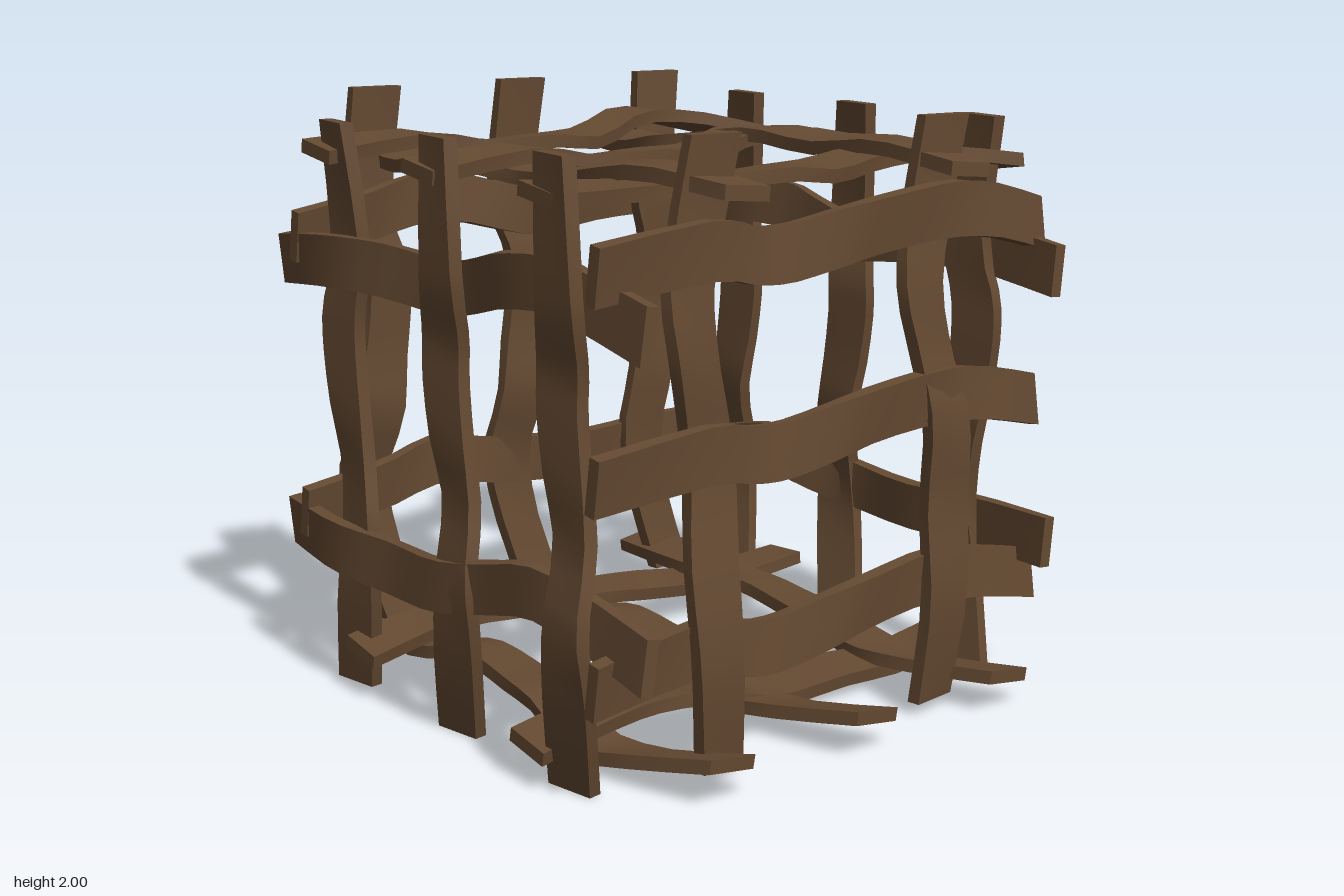
import * as THREE from 'three';

const bark = new THREE.MeshStandardMaterial({ color: 0x654a32 });
bark.name = 'brown bark';

// Flat strip bent along a path of [along, sideways, depth, twist] stations.
// A lengthwise strip runs along local x, a crosswise one along local y.
function strip(name, path, width, thick, crosswise = false) {
  const centre = new THREE.CatmullRomCurve3(path.map(p => new THREE.Vector3(p[0], p[1], p[2])));
  const twists = new THREE.CatmullRomCurve3(path.map(p => new THREE.Vector3(p[0], p[3], 0)));
  const segments = 18;
  const geo = new THREE.BoxGeometry(1, width, thick, segments, 1, 1);
  const pos = geo.attributes.position;
  for (let i = 0; i < pos.count; i++) {
    const t = THREE.MathUtils.clamp(pos.getX(i) + 0.5, 0, 1);
    const c = centre.getPoint(t);
    const a = twists.getPoint(t).y;
    const s = pos.getY(i), d = pos.getZ(i);
    pos.setXYZ(i, c.x, c.y + s * Math.cos(a) - d * Math.sin(a), c.z + s * Math.sin(a) + d * Math.cos(a));
  }
  // A quarter turn keeps the winding when the strip runs upward
  if (crosswise) geo.rotateZ(Math.PI / 2);
  geo.computeVertexNormals();
  const mesh = new THREE.Mesh(geo, bark);
  mesh.name = name;
  return mesh;
}

// One woven panel: three lengthwise strips and two crosswise strips
function wovenPanel(name) {
  const panel = new THREE.Group();
  panel.name = name;

  // Depth at left end, left crossing, middle, before right crossing, right crossing, right end
  const weave = [
    { v: 0.62, n: [0.02, 0.035, -0.005, -0.01, 0.055, -0.05] },
    { v: 0.02, n: [0.01, 0.035, -0.005, -0.02, 0.03, -0.05] },
    { v: -0.59, n: [0.0, -0.02, -0.01, -0.02, 0.0, -0.04] },
  ];
  weave.forEach(({ v, n }, i) => {
    panel.add(strip('lengthwiseStrip' + (i + 1), [
      [-0.94, v - 0.02, n[0], 0.15],
      [-0.5, v + 0.015, n[1], 0],
      [-0.32, v - 0.025, n[2], -0.1],
      [-0.2, v - 0.03, n[2], -0.1],
      [0.0, v - 0.005, n[2], -0.05],
      [0.2, v + 0.02, n[3], 0.1],
      [0.42, v + 0.055, n[4], 0.05],
      [0.65, v + 0.03, n[4] * 0.5, -0.15],
      [0.98, v - 0.05, n[5], -0.15],
    ], 0.175, 0.045));
  });

  // Crosswise stations: [v, u, depth, twist]
  const left = [
    [-0.96, -0.455, 0.0, 0.1], [-0.6, -0.49, 0.035, 0], [-0.3, -0.49, 0.0, -0.1],
    [0.0, -0.47, -0.04, 0], [0.3, -0.54, -0.02, 0.15], [0.5, -0.55, -0.04, 0.05],
    [0.7, -0.51, -0.05, -0.1], [0.96, -0.465, -0.03, -0.15],
  ];
  const right = [
    [-0.96, 0.465, 0.0, 0.1], [-0.6, 0.475, 0.045, 0], [-0.3, 0.48, 0.025, -0.1],
    [0.0, 0.465, 0.04, 0], [0.2, 0.43, 0.0, 0.15], [0.42, 0.39, -0.02, 0.05],
    [0.65, 0.435, -0.045, -0.1], [0.96, 0.485, -0.03, -0.15],
  ];
  [left, right].forEach((path, i) => {
    const turned = path.map(([v, u, n, a]) => [v, -u, n, a]);
    panel.add(strip('crosswiseStrip' + (i + 1), turned, 0.17, 0.045, true));
  });
  return panel;
}

export function createModel() {
  const model = new THREE.Group();
  model.name = 'wovenLatticeCube';

  // Each side: lengthwise direction, crosswise direction, panel centre
  const sides = [
    ['frontPanel', [1, 0, 0], [0, 1, 0], [0, 1.0, 0.82]],
    ['topPanel', [1, 0, 0], [0, 0, -1], [0, 1.8, -0.03]],
    ['leftPanel', [0, -1, 0], [0, 0, -1], [0.9, 0.98, -0.03]],
    ['rightPanel', [0, -1, 0], [0, 0, 1], [-0.89, 0.98, 0.03]],
    ['backPanel', [0, -1, 0], [-1, 0, 0], [0.02, 1.06, -0.82]],
    ['bottomPanel', [0, -0.04, 1], [-1, 0, 0], [0.02, 0.115, 0.01]],
  ];
  for (const [name, along, across, centre] of sides) {
    const u = new THREE.Vector3(...along).normalize();
    const v = new THREE.Vector3(...across);
    const n = new THREE.Vector3().crossVectors(u, v);
    const panel = wovenPanel(name);
    panel.quaternion.setFromRotationMatrix(new THREE.Matrix4().makeBasis(u, v, n));
    panel.position.set(...centre);
    model.add(panel);
  }
  return model;
}
